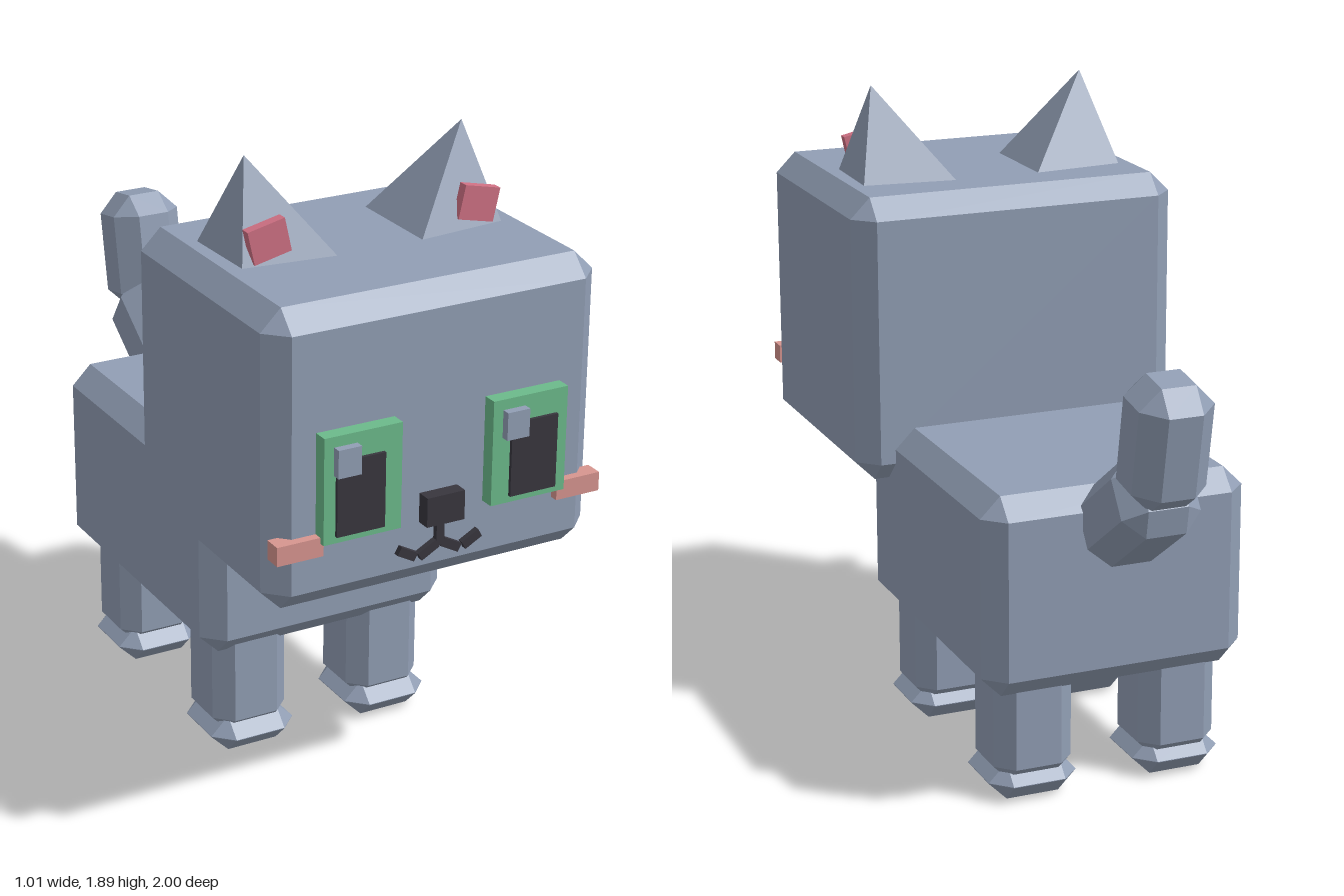
import * as THREE from 'three';
import { ConvexGeometry } from 'three/addons/geometries/ConvexGeometry.js';

const material = (name, color) => {
  const m = new THREE.MeshStandardMaterial({ color });
  m.name = name;
  return m;
};

// Box with every edge cut at 45 degrees
function chamferBox(w, h, d, c) {
  const points = [];
  for (const sx of [-1, 1]) for (const sy of [-1, 1]) for (const sz of [-1, 1]) {
    const x = w / 2, y = h / 2, z = d / 2;
    points.push(
      new THREE.Vector3(sx * x, sy * (y - c), sz * (z - c)),
      new THREE.Vector3(sx * (x - c), sy * y, sz * (z - c)),
      new THREE.Vector3(sx * (x - c), sy * (y - c), sz * z));
  }
  return new ConvexGeometry(points);
}

export function createModel() {
  const fur = material('grey fur', 0x919eb4);
  const green = material('eye green', 0x6cba8b);
  const black = material('black', 0x38363e);
  const earPink = material('ear pink', 0xce7083);
  const cheekPink = material('cheek pink', 0xd7958f);

  const cat = new THREE.Group();
  cat.name = 'cat';
  const add = (name, geometry, mat, x, y, z) => {
    const mesh = new THREE.Mesh(geometry, mat);
    mesh.name = name;
    mesh.position.set(x, y, z);
    cat.add(mesh);
    return mesh;
  };
  const box = (name, mat, w, h, d, x, y, z) =>
    add(name, new THREE.BoxGeometry(w, h, d), mat, x, y, z);

  // Body and head
  add('body', chamferBox(0.797, 0.59, 0.965, 0.06), fur, 0, 0.635, -0.122);
  add('head', chamferBox(1.008, 0.852, 0.81, 0.06), fur, 0, 1.193, 0.528);

  // Tail in two bent segments
  add('tailBase', chamferBox(0.235, 0.385, 0.235, 0.058), fur, 0, 0.9, -0.712)
    .rotation.x = -THREE.MathUtils.degToRad(55);
  add('tailTip', chamferBox(0.22, 0.365, 0.22, 0.06), fur, 0, 1.143, -0.872)
    .rotation.x = -THREE.MathUtils.degToRad(10);

  for (const [side, s] of [['left', 1], ['right', -1]]) {
    // Legs and feet
    for (const [end, legZ, footZ] of [['Front', 0.2, 0.211], ['Back', -0.428, -0.418]]) {
      add(side + end + 'Leg', chamferBox(0.238, 0.36, 0.238, 0.05), fur, s * 0.224, 0.235, legZ);
      add(side + end + 'Foot', chamferBox(0.268, 0.112, 0.27, 0.055), fur, s * 0.224, 0.056, footZ);
    }

    // Ear: a leaning pyramid with a pink plate on its front
    const ear = [[0.413, 1.6, 0.324], [0.117, 1.6, 0.292], [0.117, 1.6, 0.62],
      [0.405, 1.6, 0.588], [0.335, 1.888, 0.466]];
    add(side + 'Ear', new ConvexGeometry(ear.map(([x, y, z]) => new THREE.Vector3(s * x, y, z))), fur, 0, 0, 0);
    box(side + 'InnerEar', earPink, 0.113, 0.097, 0.03, s * 0.323, 1.684, 0.574).rotation.z = -s * 0.22;

    // Eye, pupil and highlight
    box(side + 'Eye', green, 0.233, 0.304, 0.06, s * 0.256, 1.129, 0.946);
    box(side + 'Pupil', black, 0.144, 0.214, 0.04, s * 0.266, 1.104, 0.966);
    box(side + 'EyeHighlight', fur, 0.069, 0.08, 0.04, s > 0 ? 0.204 : -0.309, 1.211, 0.98);

    // Cheek
    box(side + 'Cheek', cheekPink, 0.138, 0.055, 0.053, s * 0.431, 0.966, 0.932);

    // Mouth curl made of two short bars
    box(side + 'InnerMouth', black, 0.062, 0.026, 0.03, s * 0.035, 0.876, 0.935).rotation.z = -s * 0.5;
    box(side + 'OuterMouth', black, 0.058, 0.026, 0.03, s * 0.1, 0.878, 0.935).rotation.z = s * 0.5;
  }

  // Nose and the line below it
  box('nose', black, 0.116, 0.085, 0.06, 0, 1.0, 0.945);
  box('mouthLine', black, 0.024, 0.085, 0.03, 0, 0.926, 0.935);

  return cat;
}
